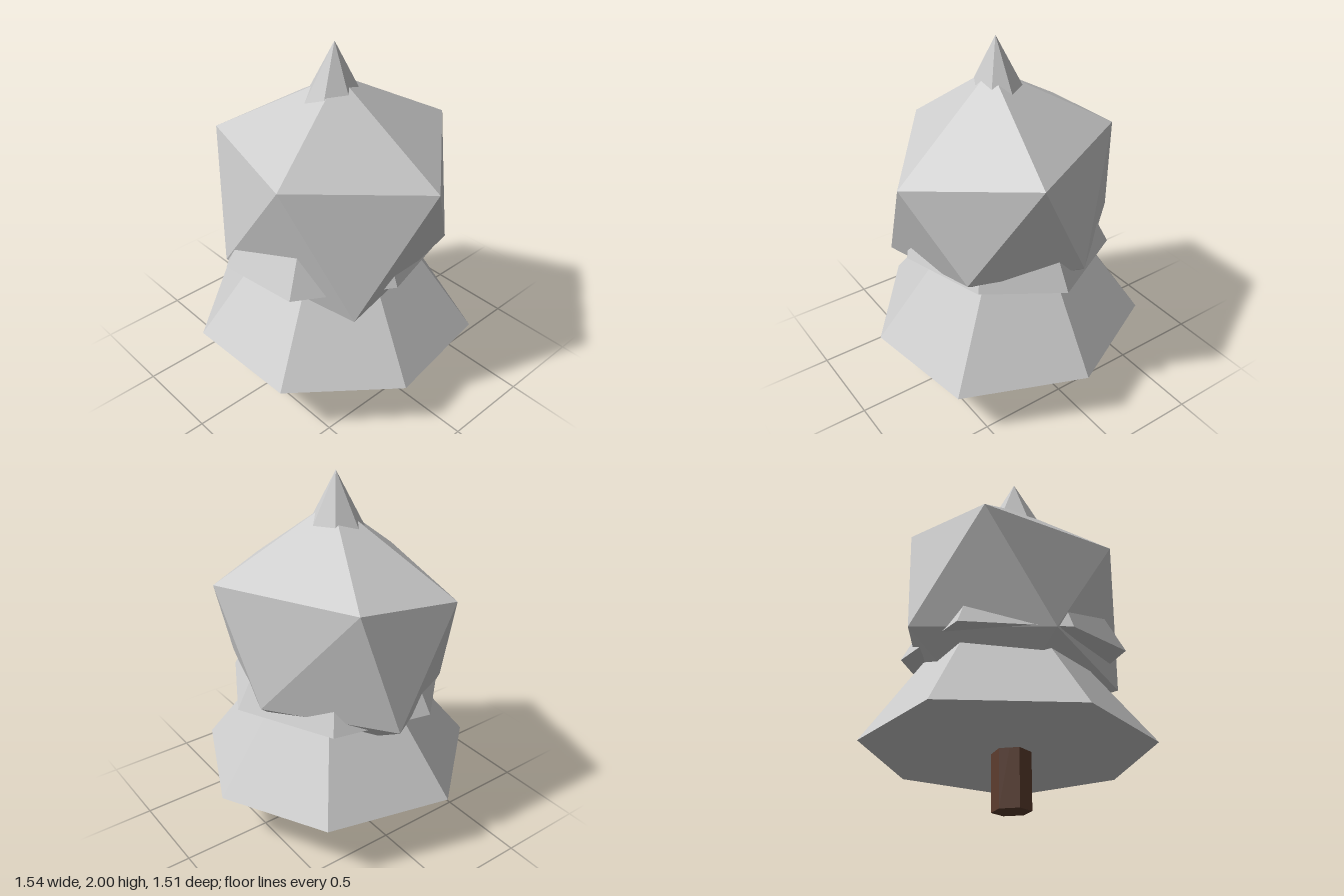
import * as THREE from 'three';
import { ConvexGeometry } from 'three/addons/geometries/ConvexGeometry.js';

const grey = new THREE.MeshStandardMaterial({ color: 0xcccccc, flatShading: true });
const brown = new THREE.MeshStandardMaterial({ color: 0x5c3d2e, flatShading: true });

// Closed faceted solid spanned by a few corner points
function facetedSolid(name, corners) {
  const points = corners.map(c => new THREE.Vector3(...c));
  const mesh = new THREE.Mesh(new ConvexGeometry(points), grey);
  mesh.name = name;
  return mesh;
}

export function createModel() {
  const tree = new THREE.Group();
  tree.name = 'lowPolyTree';

  // Hexagonal trunk, running up inside the lowest tier
  const trunkHeight = 0.6;
  const trunk = new THREE.Mesh(new THREE.CylinderGeometry(0.1, 0.1, trunkHeight, 6), brown);
  trunk.geometry.rotateY(Math.PI / 6 + Math.PI / 3);
  trunk.name = 'trunk';
  trunk.scale.z = 1.1;
  trunk.position.set(0.03, trunkHeight / 2, 0.03);
  tree.add(trunk);

  // Wide seven-sided skirt of foliage: apex, then the uneven rim
  tree.add(facetedSolid('lowerFoliageCone', [
    [-0.01, 1.37, -0.03],
    [0.36, 0.31, 0.72], [0.77, 0.29, 0.19], [0.66, 0.28, -0.47], [0.01, 0.3, -0.76],
    [-0.59, 0.33, -0.475], [-0.77, 0.34, 0.2], [-0.29, 0.33, 0.755],
  ]));

  // Tall seven-sided cone whose tip and rim poke out of the crown
  tree.add(facetedSolid('upperFoliageCone', [
    [0.05, 2.0, 0.045],
    [0.31, 0.83, 0.595], [0.6, 0.83, 0.11], [0.46, 0.83, -0.38], [0.05, 0.8, -0.605],
    [-0.45, 0.78, -0.335], [-0.59, 0.795, 0.2], [-0.2, 0.78, 0.615],
  ]));

  // Irregular icosahedral crown: two poles, upper ring, lower ring
  tree.add(facetedSolid('crown', [
    [0.08, 1.83, 0.045], [-0.05, 0.42, -0.01],
    [0.22, 1.47, -0.61], [0.705, 1.37, -0.05], [0.23, 1.43, 0.585],
    [-0.575, 1.41, 0.355], [-0.52, 1.47, -0.23],
    [0.51, 0.89, -0.36], [0.56, 0.73, 0.38], [-0.27, 0.77, 0.565],
    [-0.66, 0.82, -0.07], [-0.1, 0.86, -0.55],
  ]));

  return tree;
}
